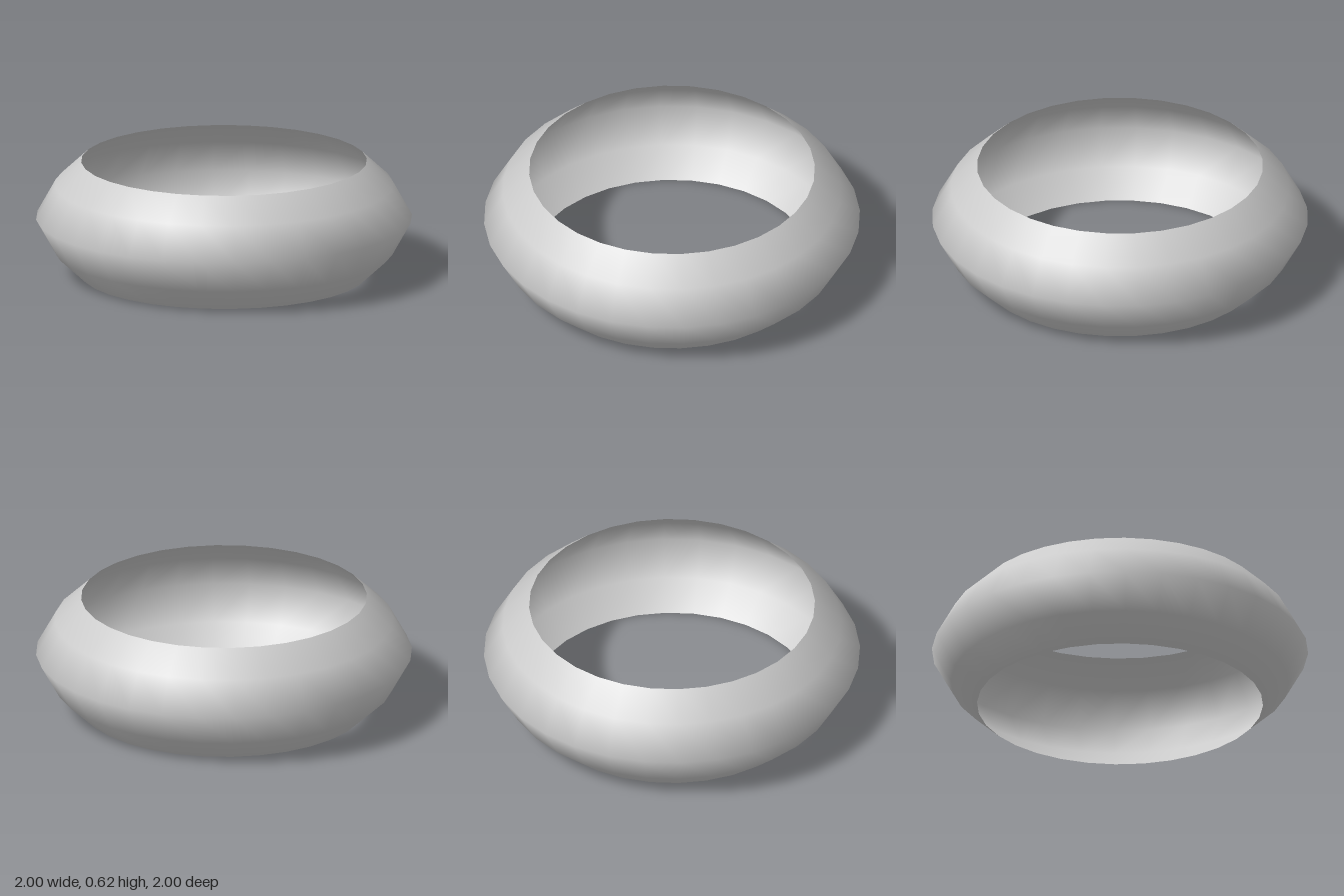
import * as THREE from 'three';

export function createModel() {
  const group = new THREE.Group();
  group.name = 'ring';

  // Open, thin-walled band bulging out at mid height: [radius, y]
  const profile = [
    [0.76, 0], [0.9, 0.13], [1, 0.31], [0.9, 0.49], [0.76, 0.62],
  ].map(([r, y]) => new THREE.Vector2(r, y));

  const band = new THREE.Mesh(
    new THREE.LatheGeometry(profile, 32),
    new THREE.MeshStandardMaterial({ color: 0xcccccc, side: THREE.DoubleSide }),
  );
  band.name = 'band';
  group.add(band);
  return group;
}
